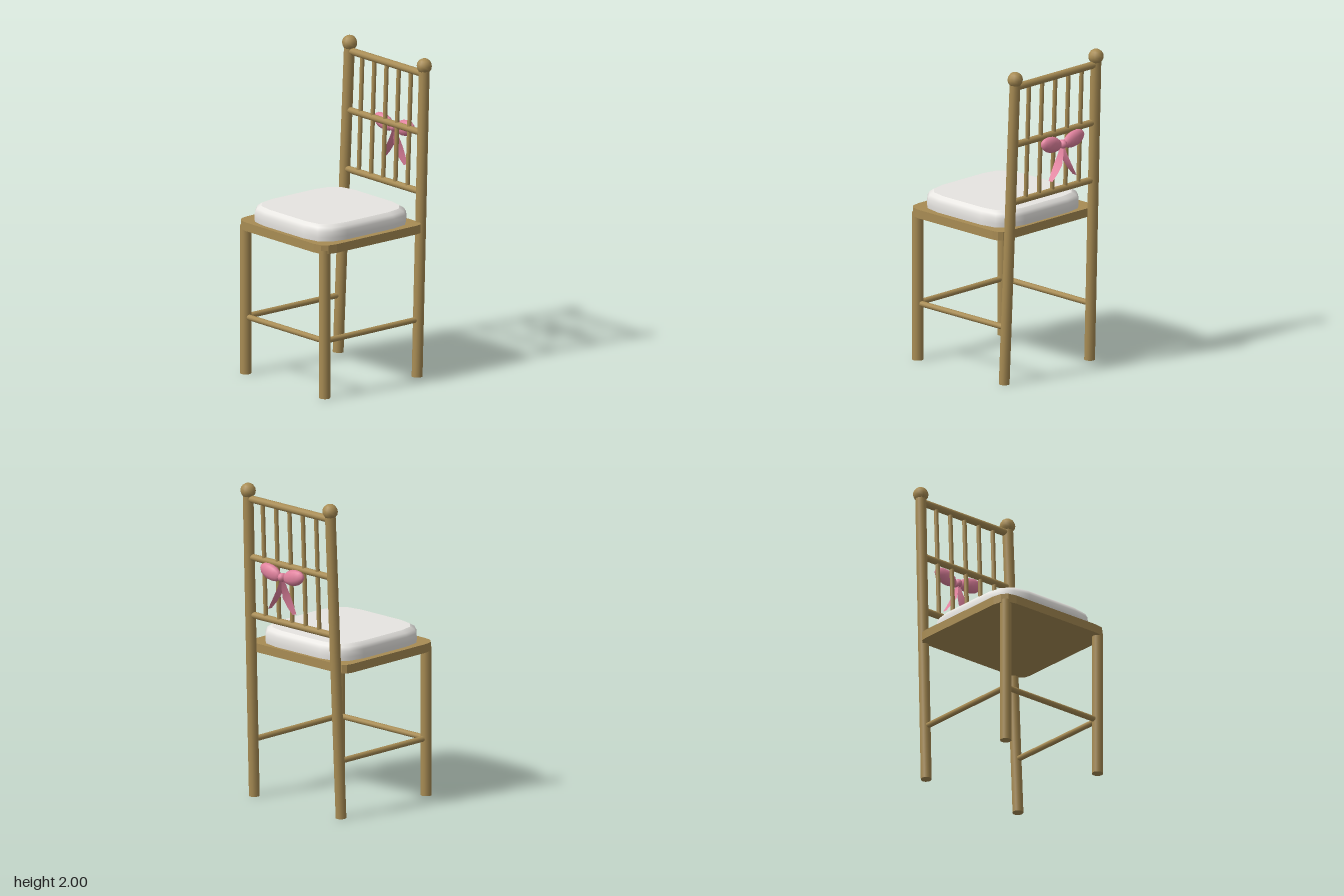
import * as THREE from 'three';

const wood = new THREE.MeshStandardMaterial({ color: 0xa88c54 });
wood.name = 'goldenWood';
const fabric = new THREE.MeshStandardMaterial({ color: 0xf0eeea });
fabric.name = 'whiteFabric';
const ribbon = new THREE.MeshStandardMaterial({ color: 0xe2839f, side: THREE.DoubleSide });
ribbon.name = 'pinkRibbon';

const V = (x, y, z) => new THREE.Vector3(x, y, z);
const backZ = (y) => -0.31 - 0.0385 * y; // lean of the chair back
const postX = (y) => 0.37 - 0.01 * y;

function mesh(name, geometry, material, parent) {
  const m = new THREE.Mesh(geometry, material);
  m.name = name;
  parent.add(m);
  return m;
}

// Round bar between two points
function bar(name, a, b, radius, parent) {
  const d = b.clone().sub(a);
  const m = mesh(name, new THREE.CylinderGeometry(radius, radius, d.length(), 12), wood, parent);
  m.position.copy(a).add(b).multiplyScalar(0.5);
  m.quaternion.setFromUnitVectors(V(0, 1, 0), d.normalize());
  return m;
}

// Rectangle with softened corners, back edge y0, front edge y1
function softRect(h, y0, y1, rb, rf) {
  const s = new THREE.Shape();
  s.moveTo(-h + rb, y0);
  s.lineTo(h - rb, y0);
  s.quadraticCurveTo(h, y0, h, y0 + rb);
  s.lineTo(h, y1 - rf);
  s.quadraticCurveTo(h, y1, h - rf, y1);
  s.lineTo(-h + rf, y1);
  s.quadraticCurveTo(-h, y1, -h, y1 - rf);
  s.lineTo(-h, y0 + rb);
  s.quadraticCurveTo(-h, y0, -h + rb, y0);
  return s;
}

// Cushion: smooth rounded side wall and a flat top
function addCushion(parent) {
  const g = new THREE.Group();
  g.name = 'cushion';
  g.position.z = 0.07;
  parent.add(g);
  const half = 0.38;
  const shape = softRect(half, -half, half, 0.19, 0.19);
  const ring = shape.getPoints(3);
  if (ring[0].distanceTo(ring[ring.length - 1]) < 1e-5) ring.pop();
  const levels = [[0.97, 0.003], [1.0, 0], [1.035, 0.002], [1.058, 0.012], [1.075, 0.035]];
  const pos = [], idx = [], n = ring.length;
  levels.forEach(([y, inset], l) => {
    const k = 1 - inset / half;
    ring.forEach((p, i) => {
      pos.push(p.x * k, y, p.y * k);
      if (l === 0) return;
      const j = (i + 1) % n, lo = (l - 1) * n, hi = l * n;
      idx.push(lo + i, hi + i, hi + j, lo + i, hi + j, lo + j);
    });
  });
  const side = new THREE.BufferGeometry();
  side.setAttribute('position', new THREE.Float32BufferAttribute(pos, 3));
  side.setIndex(idx);
  side.computeVertexNormals();
  mesh('cushionSide', side, fabric, g);
  const k = 1 - 0.035 / half;
  const top = new THREE.ShapeGeometry(shape, 3).scale(k, k, 1).rotateX(-Math.PI / 2);
  mesh('cushionTop', top, fabric, g).position.y = 1.075;
}

// Bow tied behind the middle rail
function addBow(parent) {
  const g = new THREE.Group();
  g.name = 'bow';
  g.position.set(0, 1.48, -0.445);
  parent.add(g);
  const knot = mesh('bowKnot', new THREE.SphereGeometry(1, 10, 8), ribbon, g);
  knot.scale.set(0.025, 0.028, 0.033);
  for (const s of [1, -1]) {
    const loop = mesh('bowLoop', new THREE.SphereGeometry(1, 10, 8).rotateZ(Math.PI / 2), ribbon, g);
    loop.scale.set(0.086, 0.051, 0.034);
    loop.position.set(s * 0.098, 0.015, 0);
    loop.rotation.z = s * 0.25;

    // Thin tail, widest at its middle: x, y, half width
    const rows = [[0.005, -0.015, 0.012], [0.017, -0.065, 0.024], [0.038, -0.12, 0.034],
      [0.07, -0.17, 0.028], [0.105, -0.217, 0.016]];
    const pos = [], idx = [];
    rows.forEach(([x, y, w], i) => {
      pos.push(s * x, y, -w, s * x, y, w);
      if (i) idx.push(2 * i - 2, 2 * i - 1, 2 * i, 2 * i - 1, 2 * i + 1, 2 * i);
    });
    const tail = new THREE.BufferGeometry();
    tail.setAttribute('position', new THREE.Float32BufferAttribute(pos, 3));
    tail.setIndex(idx);
    tail.computeVertexNormals();
    mesh('bowTail', tail, ribbon, g);
  }
}

export function createModel() {
  const chair = new THREE.Group();
  chair.name = 'chair';

  // Seat board
  const seat = new THREE.ExtrudeGeometry(softRect(0.42, -0.33, 0.48, 0.07, 0.1),
    { depth: 0.055, bevelEnabled: false, curveSegments: 3 }).rotateX(Math.PI / 2);
  mesh('seat', seat, wood, chair).position.y = 0.975;
  addCushion(chair);

  // Legs, back posts, finials and side stretchers
  for (const s of [1, -1]) {
    bar('frontLeg', V(s * 0.37, 0, 0.435), V(s * 0.37, 0.94, 0.435), 0.035, chair);
    bar('backPost', V(s * postX(0), 0, backZ(0)), V(s * postX(1.94), 1.94, backZ(1.94)), 0.034, chair);
    const ball = mesh('finial', new THREE.SphereGeometry(0.048, 10, 8), wood, chair);
    ball.position.set(s * 0.35, 1.952, backZ(1.952));
    bar('sideStretcher', V(s * 0.37, 0.36, 0.435), V(s * postX(0.36), 0.36, backZ(0.36)), 0.018, chair);
  }
  bar('frontStretcher', V(-0.37, 0.36, 0.435), V(0.37, 0.36, 0.435), 0.018, chair);

  // Back rails and spindles
  for (const [y, r] of [[1.16, 0.021], [1.53, 0.021], [1.902, 0.023]]) {
    bar('backRail', V(-postX(y), y, backZ(y)), V(postX(y), y, backZ(y)), r, chair);
  }
  for (let i = -2; i <= 2; i++) {
    bar('spindle', V(i * 0.114, 1.16, backZ(1.16)), V(i * 0.114, 1.9, backZ(1.9)), 0.014, chair);
  }

  addBow(chair);
  return chair;
}
